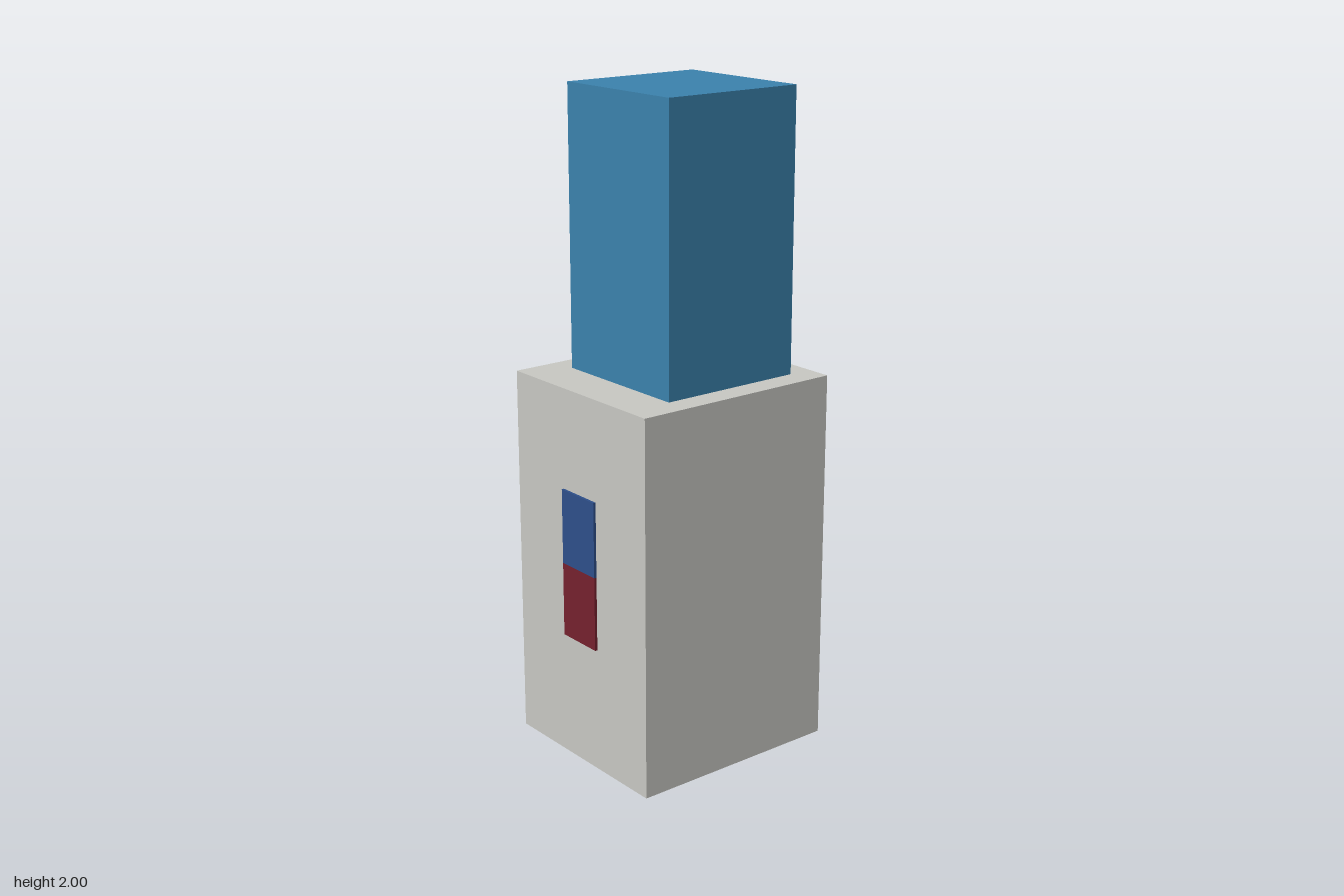
import * as THREE from 'three';

const material = (name, color, side = THREE.FrontSide) => {
  const m = new THREE.MeshStandardMaterial({ color, side });
  m.name = name;
  return m;
};

// Box given by its bounds; an open one has no bottom face
function box(name, mat, [x0, x1], [y0, y1], [z0, z1], open = false) {
  const geometry = new THREE.BoxGeometry(x1 - x0, y1 - y0, z1 - z0);
  if (open) {
    const index = Array.from(geometry.index.array);
    index.splice(18, 6);
    geometry.setIndex(index);
    geometry.clearGroups();
  }
  geometry.translate((x0 + x1) / 2, (y0 + y1) / 2, (z0 + z1) / 2);
  const mesh = new THREE.Mesh(geometry, mat);
  mesh.name = name;
  return mesh;
}

export function createModel() {
  const grey = material('pale grey', 0xc8c8c3, THREE.DoubleSide);
  const blue = material('steel blue', 0x3b82ad, THREE.DoubleSide);
  const navy = material('navy', 0x2e4f8a);
  const red = material('dark red', 0x75212e);

  const model = new THREE.Group();
  model.name = 'tower';
  model.add(
    // Hollow shells, open underneath
    box('base', grey, [-0.307, 0.307], [0, 1.155], [-0.345, 0.336], true),
    box('upperBlock', blue, [-0.23, 0.23], [1.155, 2], [-0.27, 0.19], true),
    // Two-colour plate on the front
    box('plateUpper', navy, [-0.077, 0.077], [0.617, 0.848], [0.336, 0.344]),
    box('plateLower', red, [-0.077, 0.077], [0.388, 0.617], [0.336, 0.344]),
  );
  return model;
}
